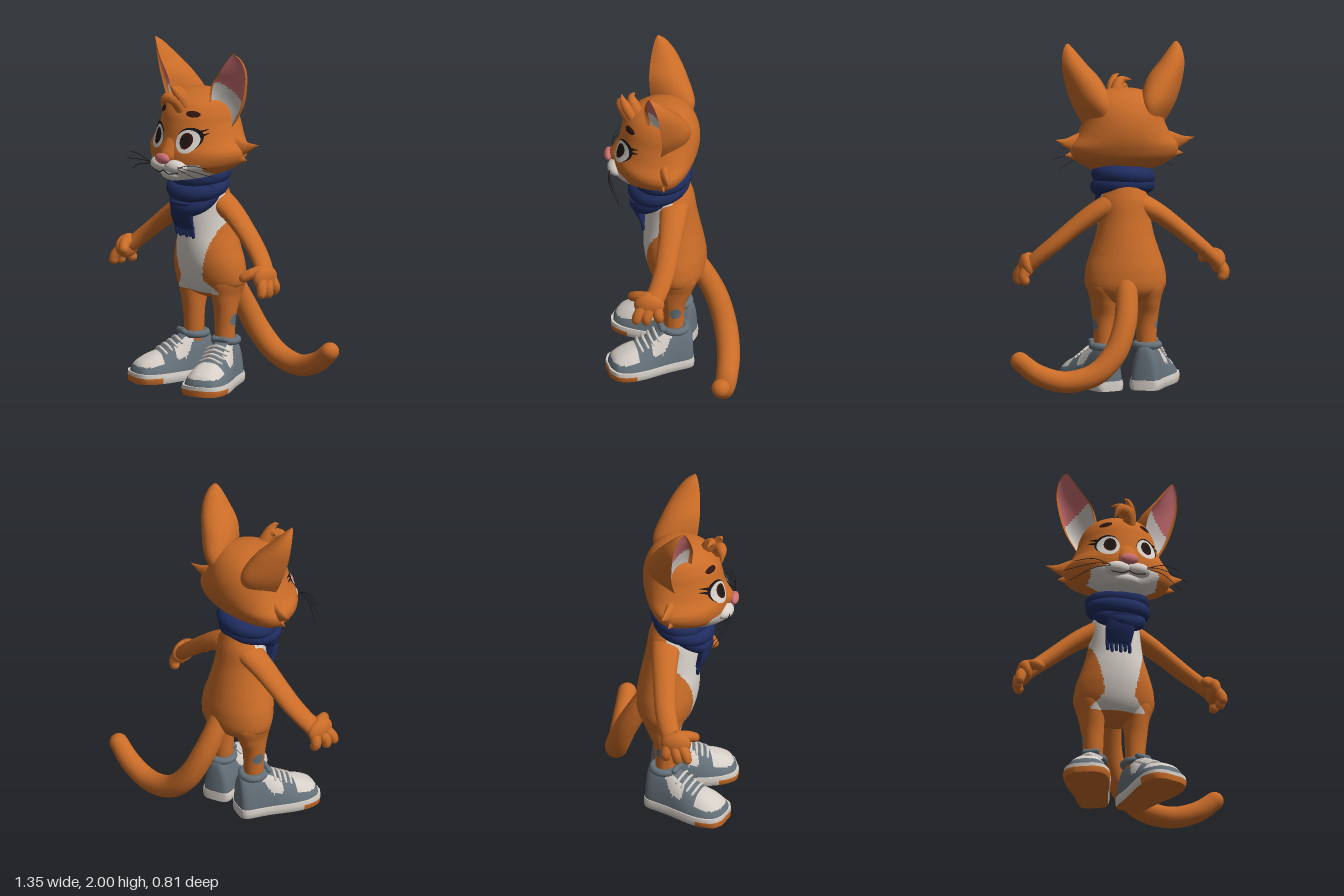
import * as THREE from 'three';
import { toCreasedNormals } from 'three/addons/utils/BufferGeometryUtils.js';

const mat = (name, color) => Object.assign(new THREE.MeshStandardMaterial({ color }), { name });
const orange = mat('orange fur', 0xca6c28), white = mat('pale fur', 0xd6cfc8), pink = mat('pink skin', 0xcc6f72),
  navy = mat('navy wool', 0x1f2c5e), gray = mat('gray leather', 0x65717a), black = mat('black', 0x191516),
  brown = mat('dark brown', 0x2e1410);
const V = (x, y, z) => new THREE.Vector3(x, y, z);

// Catmull-Rom resampling of rows of numbers
function smooth(rows, n) {
  const out = [], last = rows.length - 1;
  for (let k = 0; k <= n; k++) {
    const f = (k / n) * last, i = Math.min(Math.floor(f), last - 1), t = f - i;
    const a = rows[Math.max(i - 1, 0)], b = rows[i], c = rows[i + 1], d = rows[Math.min(i + 2, last)];
    out.push(b.map((q, m) => 0.5 * (2 * q + (c[m] - a[m]) * t + (2 * a[m] - 5 * q + 4 * c[m] - d[m]) * t * t
      + (3 * q - a[m] - 3 * c[m] + d[m]) * t * t * t)));
  }
  return out;
}

// Skin through rings of points; paint(centre, along, around) picks a material index per quad
function loft(name, rings, mats, paint = () => 0) {
  const N = rings[0].length, pts = rings.flat(), lists = mats.map(() => []);
  const add = (m, a, b, c) => lists[m].push([a, b, c]);
  const mid = V(0, 0, 0);
  for (let i = 0; i < rings.length - 1; i++) for (let j = 0; j < N; j++) {
    const a = i * N + j, b = a + N, c = i * N + (j + 1) % N, d = c + N;
    mid.copy(pts[a]).add(pts[b]).add(pts[c]).add(pts[d]).multiplyScalar(0.25);
    const m = paint(mid, (i + 0.5) / (rings.length - 1), (j + 0.5) / N);
    add(m, a, b, c); add(m, b, d, c);
  }
  [0, rings.length - 1].forEach((i, end) => {
    const centre = rings[i].reduce((s, p) => s.add(p), V(0, 0, 0)).divideScalar(N);
    const m = paint(centre, end, 0), k = pts.push(centre) - 1;
    for (let j = 0; j < N; j++) {
      const a = i * N + j, b = i * N + (j + 1) % N;
      end ? add(m, k, b, a) : add(m, k, a, b);
    }
  });
  // keep the skin facing outward
  let volume = 0;
  for (const [a, b, c] of lists.flat()) volume += pts[a].dot(V(0, 0, 0).crossVectors(pts[b], pts[c]));
  const geo = new THREE.BufferGeometry().setFromPoints(pts), index = [];
  lists.forEach((list, m) => {
    geo.addGroup(index.length, list.length * 3, m);
    for (const [a, b, c] of list) volume < 0 ? index.push(a, c, b) : index.push(a, b, c);
  });
  geo.setIndex(index);
  const mesh = new THREE.Mesh(toCreasedNormals(geo, 1.1), mats.length > 1 ? mats : mats[0]);
  mesh.name = name;
  return mesh;
}

// Horizontal rings from rows [y, x, halfWidth, zBack, zWidest, zFront]
const stack = (rows, N = 64) => rows.map(([y, x, w, zb, zc, zf]) => Array.from({ length: N }, (_, j) => {
  const t = (j / N) * Math.PI * 2, s = Math.sin(t);
  return V(x + w * Math.cos(t), y, zc + s * (s > 0 ? zf - zc : zc - zb));
}));

// Round-ended limb along rows [x, y, z, radius]; widen stretches its section toward ref
function limb(name, rows, material, n = 16, N = 12, ref = V(0, 0, 1), widen = 1) {
  const path = smooth(rows, n), at = i => V(...path[i].slice(0, 3)), rings = [];
  const ring = (c, t, r) => {
    const u = V(0, 0, 0).crossVectors(ref, t).normalize(), v = V(0, 0, 0).crossVectors(t, u).multiplyScalar(widen);
    rings.push(Array.from({ length: N }, (_, j) => c.clone()
      .addScaledVector(u, r * Math.cos(j / N * 2 * Math.PI)).addScaledVector(v, r * Math.sin(j / N * 2 * Math.PI))));
  };
  for (let i = 0; i <= n; i++) {
    const t = at(Math.min(i + 1, n)).sub(at(Math.max(i - 1, 0))).normalize(), r = Math.max(path[i][3], 0.001);
    const cap = a => ring(at(i).addScaledVector(t, r * Math.sin(a)), t, r * Math.cos(a));
    if (i === 0) [-1.5, -1.1, -0.7, -0.35].forEach(cap);
    ring(at(i), t, r);
    if (i === n) [0.35, 0.7, 1.1, 1.5].forEach(cap);
  }
  return loft(name, rings, [material]);
}

function ball(name, material, [x, y, z], [rx, ry, rz]) {
  const mesh = new THREE.Mesh(new THREE.SphereGeometry(1, 32, 20).scale(rx, ry, rz), material);
  mesh.position.set(x, y, z);
  mesh.name = name;
  return mesh;
}

const headRows = smooth([[1.235, 0, 0.05, 0.17, 0.22, 0.31], [1.25, 0, 0.13, 0.08, 0.16, 0.33], [1.285, 0, 0.215, -0.01, 0.08, 0.34],
  [1.34, 0, 0.292, -0.09, 0.04, 0.345], [1.41, 0, 0.315, -0.13, 0.03, 0.34], [1.48, 0, 0.268, -0.15, 0.03, 0.32],
  [1.56, 0, 0.232, -0.15, 0.03, 0.305], [1.63, 0, 0.212, -0.13, 0.03, 0.285], [1.69, 0, 0.178, -0.09, 0.03, 0.24],
  [1.73, 0, 0.11, -0.03, 0.04, 0.16], [1.745, 0, 0.01, 0.04, 0.05, 0.06]], 80);
function headZ(x, y) {
  const i = Math.max(1, headRows.findIndex(r => r[0] > y)), a = headRows[i - 1], b = headRows[i];
  const [, , w, , zc, zf] = a.map((q, k) => THREE.MathUtils.lerp(q, b[k], (y - a[0]) / (b[0] - a[0])));
  return zc + (zf - zc) * Math.sqrt(Math.max(0, 1 - (x / w) ** 2));
}
// Thin oval lying on the face
function patch(name, material, cx, cy, rx, ry, lift, tilt = 0) {
  const geo = new THREE.RingGeometry(0.001, 1, 40, 6).scale(rx, ry, 1).rotateZ(tilt).translate(cx, cy, 0);
  const p = geo.attributes.position;
  for (let i = 0; i < p.count; i++) p.setZ(i, headZ(p.getX(i), p.getY(i)) + lift);
  geo.computeVertexNormals();
  const mesh = new THREE.Mesh(geo, material);
  mesh.name = name;
  return mesh;
}

function makeHead() {
  const g = new THREE.Group();
  g.name = 'head';
  g.add(loft('skull', stack(headRows, 112), [orange, white],
    c => (c.z > 0.16 && c.y < 1.345 && Math.abs(c.x) < 0.2 ? 1 : 0)));
  g.add(limb('noseBridge', [[0, 1.52, 0.24, 0.045], [0, 1.45, 0.277, 0.056], [0, 1.385, 0.32, 0.053]], orange, 10, 24, V(1, 0, 0), 1.15));
  g.add(ball('chin', white, [0, 1.275, 0.28], [0.09, 0.045, 0.065]));
  g.add(ball('nose', pink, [0, 1.375, 0.377], [0.053, 0.032, 0.026]));
  // forehead curls
  const curl = rows => g.add(limb('hairLock', rows, orange, 14, 10, V(1, 0, 0.2)));
  curl([[0.03, 1.65, 0.25, 0.035], [0.01, 1.71, 0.285, 0.036], [-0.04, 1.715, 0.31, 0.027], [-0.075, 1.655, 0.31, 0.002]]);
  curl([[0.02, 1.67, 0.2, 0.04], [0, 1.74, 0.235, 0.034], [-0.03, 1.765, 0.245, 0.02], [-0.075, 1.765, 0.23, 0.002]]);
  curl([[0.04, 1.66, 0.23, 0.034], [0.03, 1.73, 0.27, 0.03], [0.01, 1.775, 0.295, 0.016], [-0.015, 1.79, 0.3, 0.002]]);
  for (const s of [1, -1]) {
    g.add(ball('muzzle', white, [s * 0.055, 1.328, 0.318], [0.08, 0.045, 0.062]));
    g.add(limb('mouth', [[0, 1.305, 0.368, 0.003], [s * 0.04, 1.288, 0.366, 0.003], [s * 0.1, 1.3, 0.352, 0.003]], black, 8, 6));
    // eyes, lashes and brows
    g.add(patch('eyeOutline', black, s * 0.117 + 0.006, 1.49, 0.066, 0.07, 0.004, -s * 0.3));
    g.add(patch('eyeWhite', white, s * 0.113 + 0.006, 1.481, 0.062, 0.066, 0.008));
    g.add(patch('iris', brown, s * 0.108 + 0.009, 1.485, 0.034, 0.046, 0.012));
    g.add(patch('pupil', black, s * 0.108 + 0.009, 1.485, 0.02, 0.03, 0.015));
    g.add(patch('brow', brown, s * 0.115 + 0.004, 1.635, 0.034, 0.017, 0.01, -s * 0.2));
    for (const k of [0, 1]) {
      const x = 0.165 + k * 0.01, y = 1.535 - k * 0.022;
      g.add(limb('eyelash', [[s * x, y, headZ(x, y) + 0.003, 0.008], [s * (x + 0.03), y + 0.016, headZ(x + 0.03, y + 0.016) + 0.008, 0.001]], black, 6, 6));
    }
    // cheek fur
    const tuft = rows => g.add(limb('cheekTuft', rows.map(([x, ...r]) => [s * x, ...r]), orange, 16, 20, V(0, 0, 1), 0.5));
    tuft([[0.18, 1.42, 0.05, 0.095], [0.265, 1.428, 0.035, 0.066], [0.34, 1.438, 0.015, 0.028], [0.405, 1.457, 0, 0.001]]);
    tuft([[0.2, 1.365, 0.06, 0.06], [0.28, 1.362, 0.045, 0.034], [0.345, 1.362, 0.03, 0.001]]);
    // whiskers
    [[0.37, 1.3, 0.29], [0.33, 1.245, 0.29], [0.31, 1.355, 0.32]].forEach(([x, y, z], k) => g.add(limb('whisker',
      [[s * 0.09, 1.335 - k * 0.006, 0.36, 0.002], [s * 0.2, (1.345 + y) / 2 + 0.012, 0.36, 0.002], [s * x, y, z, 0.0015]], black, 10, 6)));
    // ear: rows of outer rim point, inner rim point, depth
    const rows = smooth([[0.235, 1.53, 0.06, 0.165, 1.58, 0.13, 0.2], [0.3, 1.65, 0.045, 0.152, 1.69, 0.145, 0.235], [0.34, 1.77, 0.05, 0.178, 1.8, 0.155, 0.19],
      [0.358, 1.88, 0.06, 0.24, 1.89, 0.15, 0.12], [0.348, 1.96, 0.085, 0.288, 1.965, 0.135, 0.055], [0.325, 2, 0.113, 0.312, 2, 0.12, 0.008]], 48);
    const rings = rows.map(([ox, oy, oz, ix, iy, iz, d]) => Array.from({ length: 64 }, (_, j) => {
      const t = j / 64 * 2 * Math.PI, u = Math.cos(t), h = Math.sin(t), b = d * (h > 0 ? h ** 0.8 : -0.25 * h);
      return V(s * ((ox + ix) / 2 + u * (ox - ix) / 2 - 0.46 * b), (oy + iy) / 2 + u * (oy - iy) / 2, (oz + iz) / 2 + u * (oz - iz) / 2 - 0.85 * b);
    }));
    g.add(loft('ear', rings, [orange, pink, white], (c, t, a) =>
      a < 0.56 || a > 0.93 || t > 0.94 ? 0 : c.y < 2.03 - 1.1 * Math.abs(c.x) ? 2 : 1));
  }
  return g;
}

function makeScarf() {
  const g = new THREE.Group();
  g.name = 'scarf';
  // loops: height, forward dip, x radius, z radius, z centre
  for (const [y, dip, rx, rz, zc] of [[1.235, 0.025, 0.135, 0.12, 0.06], [1.17, 0.04, 0.138, 0.13, 0.085], [1.125, 0.075, 0.105, 0.1, 0.105]]) {
    const pts = Array.from({ length: 20 }, (_, i) => {
      const t = i / 20 * 2 * Math.PI;
      return V(rx * Math.cos(t), y - dip * Math.sin(t) + 0.012 * Math.cos(t + y * 20), zc + rz * Math.sin(t));
    });
    const loop = new THREE.Mesh(new THREE.TubeGeometry(new THREE.CatmullRomCurve3(pts, true), 64, 0.05, 14, true), navy);
    loop.name = 'scarfLoop';
    g.add(loop);
  }
  g.add(loft('scarfEnd', stack(smooth([[0.925, -0.02, 0.076, 0.155, 0.175, 0.195], [1, -0.015, 0.085, 0.17, 0.2, 0.235], [1.09, 0, 0.09, 0.17, 0.21, 0.255]], 12), 32), [navy]));
  for (let i = 0; i < 6; i++) {
    const x = -0.085 + i * 0.026;
    g.add(limb('fringe', [[x, 0.94, 0.178, 0.012], [x + 0.004, 0.888 - (i % 2) * 0.008, 0.172, 0.01]], navy, 4, 8));
  }
  return g;
}

function makeShoe(s) {
  const g = new THREE.Group();
  g.name = 'shoe';
  // cross-sections along the foot: z, half width, height
  const rows = smooth([[-0.118, 0.03, 0.16], [-0.11, 0.064, 0.24], [-0.08, 0.083, 0.27], [0, 0.092, 0.275], [0.06, 0.1, 0.262],
    [0.12, 0.112, 0.22], [0.2, 0.126, 0.178], [0.28, 0.127, 0.15], [0.345, 0.102, 0.115], [0.375, 0.05, 0.07]], 72);
  const p = (v, e) => Math.sign(v) * Math.abs(v) ** e;
  const rings = rows.map(([z, w, h]) => Array.from({ length: 72 }, (_, j) => {
    const t = j / 72 * 2 * Math.PI, up = Math.max(0, Math.sin(t));
    return V(w * p(Math.cos(t), 0.7) * (1 - 0.25 * up), 0.03 + (h - 0.03) * p(up, 0.8), z);
  }));
  // pale toe cap and lacing panels
  g.add(loft('upper', rings, [gray, white], c => {
    const x = Math.abs(c.x), toe = c.z > 0.22 && c.y > 0.095 && x < 0.1;
    const side = x > 0.045 && c.z > 0.02 + (0.22 - c.y) * 0.6 && c.z < 0.14 && c.y > 0.13;
    return toe || side ? 1 : 0;
  }));
  // sole from a footprint outline, with a coloured tread and toe bumper
  const outline = grow => [...rows.map(([z, w]) => [w + grow, z * 1.02]), ...rows.slice().reverse().map(([z, w]) => [-w - grow, z * 1.02])];
  const level = (y, grow) => outline(grow).map(([x, z]) => V(x, y, z));
  g.add(loft('sole', [level(0, 0), level(0.014, 0.006), level(0.036, 0.008), level(0.058, 0.003)], [white, orange],
    (c, t) => (t < 0.1 || (c.z > 0.25 && t < 0.6) ? 1 : 0)));
  // laces and ankle collar
  for (let i = 0; i < 4; i++) {
    const z = 0.095 + i * 0.033, y = 0.237 - i * 0.018;
    g.add(limb('lace', [[-0.068, y - 0.02, z, 0.008], [0, y + 0.006, z + 0.012, 0.009], [0.068, y - 0.02, z, 0.008]], white, 10, 8));
  }
  g.add(limb('tongue', [[-0.035, 0.272, 0.066, 0.018], [0.035, 0.272, 0.066, 0.018]], gray, 6, 10));
  const collar = new THREE.Mesh(new THREE.TorusGeometry(0.066, 0.022, 12, 36).rotateX(Math.PI / 2), gray);
  collar.name = 'collar';
  collar.position.set(0, 0.255, -0.018);
  g.add(collar);
  g.position.set(s * 0.133, 0, 0);
  g.rotation.y = s * 0.35;
  return g;
}

export function createModel() {
  const model = new THREE.Group(), g = new THREE.Group();
  g.name = 'cat';
  g.position.x = -0.046;
  model.add(g);
  g.add(makeHead(), makeScarf());
  // torso with pale belly
  const torso = smooth([[0.5, 0, 0.06, -0.08, -0.02, 0.03], [0.535, 0, 0.17, -0.14, -0.02, 0.09], [0.6, 0, 0.232, -0.185, -0.02, 0.135], [0.7, 0, 0.23, -0.19, -0.01, 0.165],
    [0.8, 0, 0.2, -0.175, 0, 0.175], [0.9, 0, 0.168, -0.155, 0, 0.17], [1, 0, 0.15, -0.135, 0.01, 0.16], [1.1, 0, 0.143, -0.12, 0.01, 0.14],
    [1.17, 0, 0.11, -0.1, 0.01, 0.12], [1.28, 0, 0.08, -0.06, 0.02, 0.1]], 110);
  // the belly patch narrows downward and flares at the thighs
  const belly = y => (y < 0.62 ? 0.158 - Math.max(0, y - 0.56) * 1.1 : 0.09 + Math.max(0, y - 0.65) * 0.22);
  const isBelly = c => (c.z > 0 && c.y > 0.54 && Math.abs(c.x) < belly(c.y) ? 1 : 0);
  g.add(loft('torso', stack(torso, 128), [orange, white], isBelly));
  for (const s of [1, -1]) {
    // leg with a small gray mark on its outside
    const leg = smooth([[0.1, s * 0.13, 0.055, -0.065, -0.01, 0.045], [0.3, s * 0.125, 0.058, -0.068, -0.01, 0.05], [0.42, s * 0.128, 0.065, -0.08, -0.01, 0.058],
      [0.52, s * 0.13, 0.075, -0.12, -0.02, 0.08], [0.62, s * 0.125, 0.1, -0.15, -0.02, 0.1], [0.7, s * 0.11, 0.06, -0.1, -0.02, 0.06]], 60);
    g.add(loft('leg', stack(leg, 64), [orange, white, gray], c =>
      (s * c.x > 0.14 && ((c.y - 0.38) / 0.037) ** 2 + ((c.z + 0.025) / 0.032) ** 2 < 1 ? 2 : isBelly(c))));
    g.add(makeShoe(s));
    // arm, palm, fingers and thumb
    const part = (name, rows, ...rest) => g.add(limb(name, rows.map(([x, ...r]) => [s * x, ...r]), orange, ...rest));
    part('arm', [[0.02, 1.1, -0.01, 0.06], [0.1, 1.07, -0.01, 0.062], [0.2, 1.015, -0.005, 0.055], [0.3, 0.94, 0.005, 0.049], [0.4, 0.855, 0.02, 0.046], [0.48, 0.785, 0.045, 0.043],
      [0.545, 0.72, 0.08, 0.042]], 36, 24, V(0, 0, 1), 1.35);
    g.add(ball('palm', orange, [s * 0.56, 0.715, 0.1], [0.044, 0.07, 0.088]));
    part('finger', [[0.565, 0.71, 0.13, 0.034], [0.595, 0.665, 0.16, 0.031], [0.602, 0.635, 0.17, 0.028]], 8);
    part('finger', [[0.57, 0.7, 0.095, 0.034], [0.598, 0.66, 0.11, 0.031], [0.6, 0.63, 0.113, 0.028]], 8);
    part('finger', [[0.565, 0.7, 0.055, 0.034], [0.585, 0.66, 0.045, 0.031], [0.578, 0.635, 0.042, 0.029]], 8);
    part('thumb', [[0.545, 0.755, 0.11, 0.036], [0.515, 0.74, 0.17, 0.032], [0.49, 0.72, 0.202, 0.028]], 8);
  }
  g.add(limb('tail', [[0.02, 0.67, -0.11, 0.064], [0.02, 0.54, -0.19, 0.065], [0.045, 0.4, -0.26, 0.067], [0.11, 0.25, -0.31, 0.068], [0.23, 0.135, -0.335, 0.066],
    [0.4, 0.095, -0.335, 0.063], [0.56, 0.14, -0.33, 0.06], [0.668, 0.222, -0.322, 0.054]], orange, 48, 24));
  return model;
}
